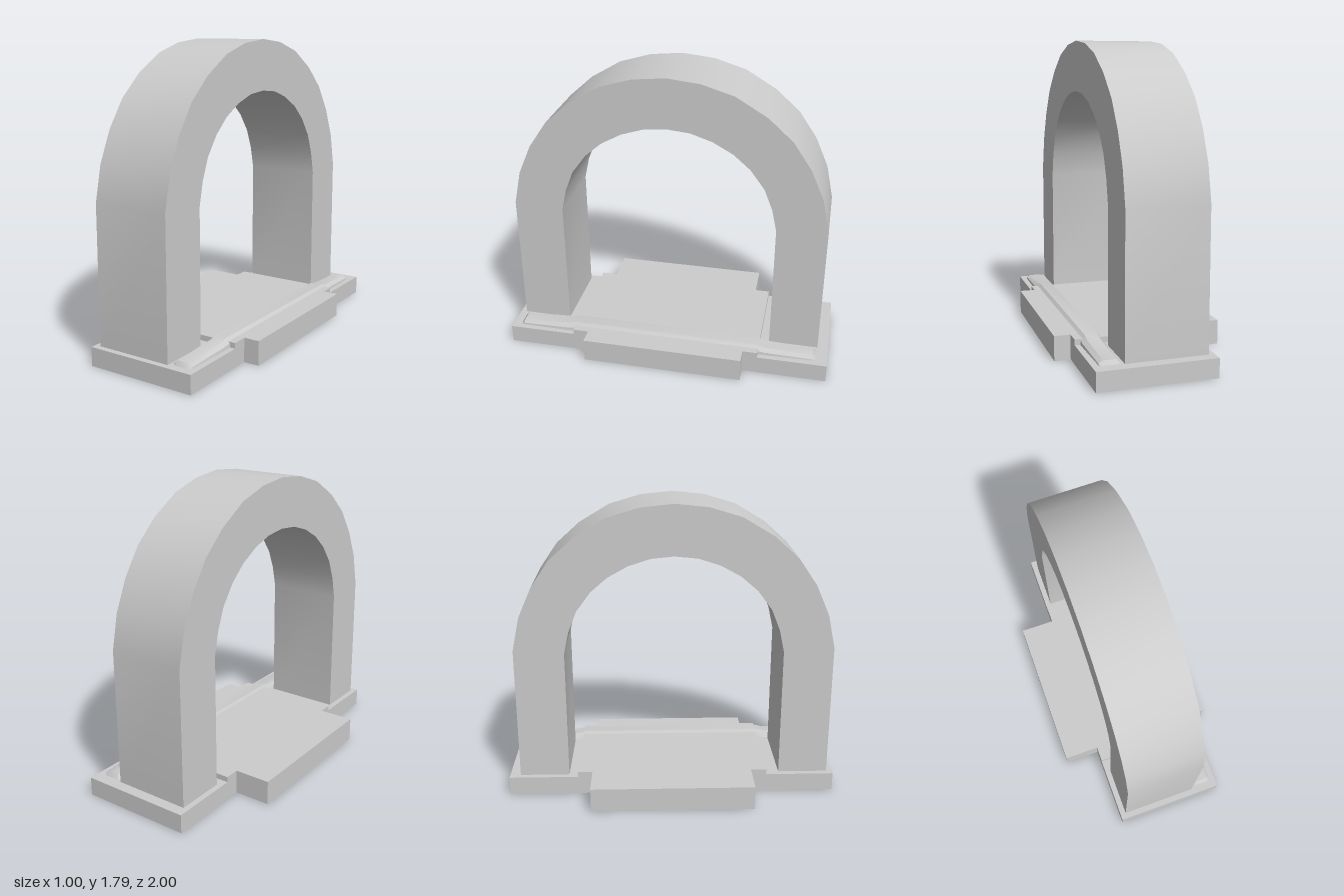
import * as THREE from 'three';
import { toCreasedNormals } from 'three/addons/utils/BufferGeometryUtils.js';

const material = new THREE.MeshStandardMaterial({ color: 0xcccccc });

function addPart(group, name, geometry) {
  const mesh = new THREE.Mesh(geometry, material);
  mesh.name = name;
  group.add(mesh);
  return mesh;
}

const toShape = (points) => new THREE.Shape(points.map(([x, y]) => new THREE.Vector2(x, y)));

// Full curve from half-width/height pairs, running from +z over the crown to -z
function mirrored(half, centre) {
  const back = half.slice(0, -1).reverse().map(([w, y]) => [centre - w, y]);
  return [...half.map(([w, y]) => [centre + w, y]), ...back];
}

// Faceted arch with straight legs
function archGeometry() {
  const outer = [[0.95, 0.1], [0.95, 0.925], [0.905, 1.13], [0.825, 1.31], [0.715, 1.47], [0.57, 1.6], [0.385, 1.71], [0.195, 1.767], [0, 1.787]];
  const inner = [[0.65, 0.1], [0.65, 0.905], [0.62, 1.04], [0.57, 1.165], [0.485, 1.28], [0.385, 1.367], [0.265, 1.433], [0.135, 1.475], [0, 1.488]];
  const outline = [...mirrored(outer, 0.015), ...mirrored(inner, 0.015).reverse()];
  const geometry = new THREE.ExtrudeGeometry(toShape(outline), { depth: 0.47, bevelEnabled: false });
  geometry.rotateY(-Math.PI / 2).translate(0.225, 0, 0);
  return toCreasedNormals(geometry, 0.5);
}

// Raised centre slab with a wing on each side
function slabGeometry() {
  const plan = [
    [-0.28, -0.585], [0.4, -0.585], [0.4, -0.49], [0.495, -0.49], [0.495, 0.49], [0.4, 0.49],
    [0.4, 0.58], [-0.28, 0.58], [-0.28, 0.49], [-0.5, 0.49], [-0.5, -0.49], [-0.28, -0.49],
  ];
  return new THREE.ExtrudeGeometry(toShape(plan), { depth: 0.145, bevelEnabled: false }).rotateX(-Math.PI / 2);
}

// Low rail lofted through bevelled cross-sections along z: [z, top height, inset]
function railGeometry() {
  const stations = [[0.95, 0.112, 0.012], [0.93, 0.135, 0.004], [0.63, 0.15, 0], [0.585, 0.161, 0],
    [-0.56, 0.161, 0], [-0.62, 0.147, 0], [-0.91, 0.135, 0.004], [-0.928, 0.112, 0.012]];
  const positions = [];
  const rings = stations.map(([z, top, inset]) => {
    const rise = top - 0.1;
    return [[0.228 + inset, 0], [0.233 + inset, 0.35], [0.265, 1], [0.338, 1], [0.365 - inset, 0.6], [0.37 - inset, 0]]
      .map(([x, f]) => [x, 0.1 + rise * f, z]);
  });
  const triangle = (a, b, c) => positions.push(...a, ...b, ...c);
  for (let i = 0; i < rings.length - 1; i++) {
    const a = rings[i], b = rings[i + 1];
    for (let j = 0; j < a.length; j++) {
      const k = (j + 1) % a.length;
      triangle(a[j], a[k], b[j]);
      triangle(a[k], b[k], b[j]);
    }
  }
  const first = rings[0], last = rings[rings.length - 1];
  for (let j = 1; j < first.length - 1; j++) {
    triangle(first[0], first[j + 1], first[j]);
    triangle(last[0], last[j], last[j + 1]);
  }
  const geometry = new THREE.BufferGeometry();
  geometry.setAttribute('position', new THREE.Float32BufferAttribute(positions, 3));
  geometry.computeVertexNormals();
  return toCreasedNormals(geometry, 0.6);
}

export function createModel() {
  const group = new THREE.Group();
  group.name = 'archOnBase';

  addPart(group, 'arch', archGeometry());
  addPart(group, 'centreSlab', slabGeometry());
  addPart(group, 'rail', railGeometry());

  // Lower step under each leg
  for (const [name, near, far] of [['frontStep', 0.585, 1], ['backStep', -1, -0.58]]) {
    const step = addPart(group, name, new THREE.BoxGeometry(0.68, 0.112, far - near));
    step.position.set(0.06, 0.056, (near + far) / 2);
  }
  return group;
}
